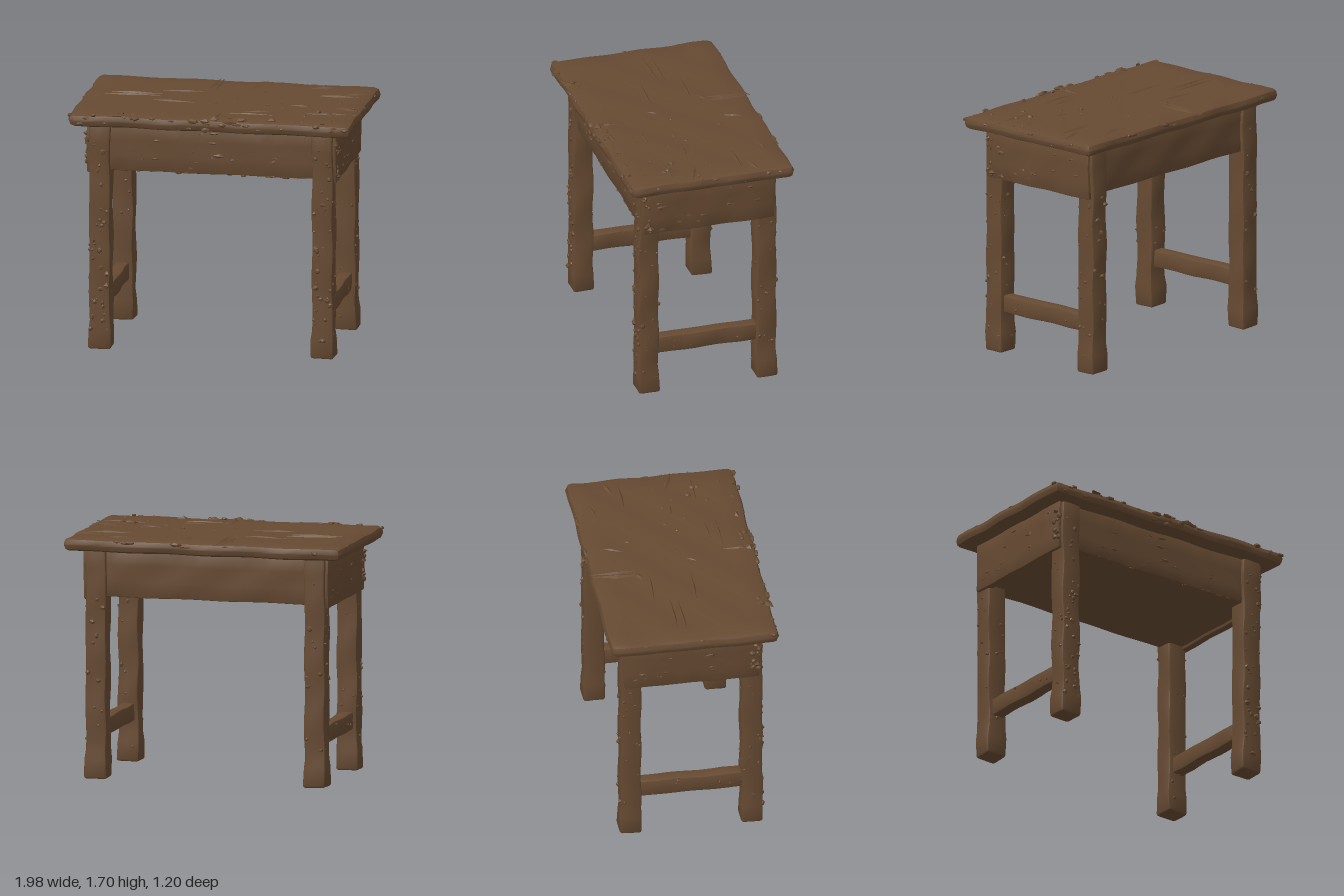
import * as THREE from 'three';
import { mergeGeometries, toCreasedNormals } from 'three/addons/utils/BufferGeometryUtils.js';

let seed = 7;
const rand = () => (seed = (seed * 16807) % 2147483647) / 2147483647;
const span = (a, b) => a + (b - a) * rand();

// Rounded, gently uneven timber between two corners
function timber(min, max, segs, r, amp, shape) {
  const size = max.map((v, i) => v - min[i]);
  const mid = max.map((v, i) => (v + min[i]) / 2);
  const g = new THREE.BoxGeometry(...size, ...segs);
  const pos = g.attributes.position;
  for (let i = 0; i < pos.count; i++) {
    const p = [pos.getX(i), pos.getY(i), pos.getZ(i)];
    const inner = [], dir = new THREE.Vector3();
    p.forEach((v, a) => {
      const half = size[a] / 2, n = segs[a];
      const k = Math.round((v / size[a] + 0.5) * n);
      if (k === 1) v = r - half;
      if (k === n - 1) v = half - r;
      inner[a] = THREE.MathUtils.clamp(v, r - half, half - r);
      dir.setComponent(a, v - inner[a]);
    });
    dir.setLength(r);
    const q = inner.map((v, a) => v + dir.getComponent(a));
    if (shape) shape(q, mid);
    const w = q.map((v, a) => v + mid[a]);
    const [x, y, z] = w;
    pos.setXYZ(i,
      x + amp * Math.sin(y * 13 + z * 17 + x * 3),
      y + amp * 0.5 * Math.sin(x * 11 + z * 14),
      z + amp * Math.sin(y * 15 + x * 12 + 1));
  }
  return toCreasedNormals(g, 0.6);
}

// Knots and splinters scattered over the box between two corners
function chips(count, min, max, size, flat = [1, 1, 1]) {
  const list = [];
  for (let i = 0; i < count; i++) {
    const s = size * span(0.5, 1.15);
    const g = rand() < 0.6 ? new THREE.IcosahedronGeometry(s, 0) : new THREE.OctahedronGeometry(s, 0);
    g.rotateX(span(0, 6)).rotateY(span(0, 6));
    g.scale(...flat.map((f) => f * span(0.7, 1.25)));
    g.translate(...min.map((v, a) => span(v, max[a])));
    g.computeVertexNormals();
    list.push(g);
  }
  return mergeGeometries(list);
}

// Long, pointed splinter lying on the top
function sliver([x, z, length, angle, width]) {
  const g = new THREE.OctahedronGeometry(1, 0);
  g.scale(length / 2, 0.012, width / 2);
  g.rotateY(angle).translate(x, 1.68, z);
  g.computeVertexNormals();
  return g;
}

export function createModel() {
  const wood = new THREE.MeshStandardMaterial({ color: 0x664a32 });
  wood.name = 'dark brown wood';
  const table = new THREE.Group();
  table.name = 'table';
  const add = (name, geometry) => {
    const mesh = new THREE.Mesh(geometry, wood);
    mesh.name = name;
    table.add(mesh);
  };

  // Table top with worn edges
  add('tableTop', timber([-0.985, 1.59, -0.59], [0.985, 1.682, 0.575], [24, 3, 16], 0.042, 0.005));
  add('frontEdgeChips', chips(34, [-0.96, 1.61, 0.555], [0.96, 1.675, 0.575], 0.02, [2, 0.8, 0.8]));
  add('backEdgeChips', chips(9, [-0.9, 1.64, -0.58], [0.9, 1.67, -0.575], 0.02, [2.2, 0.8, 0.8]));
  add('leftEdgeChips', chips(22, [0.955, 1.62, -0.54], [0.975, 1.67, 0.54], 0.018, [0.9, 0.8, 1.6]));
  add('rightEdgeChips', chips(9, [-0.975, 1.62, -0.54], [-0.96, 1.67, 0.54], 0.016, [0.9, 0.8, 1.6]));
  add('topKnots', chips(18, [0.05, 1.676, -0.5], [0.95, 1.683, 0.53], 0.024, [1, 0.5, 1]));
  add('topFrontKnots', chips(10, [-0.85, 1.676, 0.5], [0.9, 1.69, 0.55], 0.026, [1.3, 0.6, 1]));

  // Splits in the grain: x, z, length, angle, width
  add('topSplinters', mergeGeometries([
    [-0.66, -0.1, 0.52, 0, 0.02], [-0.66, -0.045, 0.56, 0.03, 0.022], [-0.37, 0.085, 0.4, -0.03, 0.025],
    [-0.15, -0.41, 0.4, 1.48, 0.05], [-0.11, -0.4, 0.42, 1.57, 0.04], [-0.17, -0.27, 0.16, 0.6, 0.06],
    [-0.3, -0.2, 0.42, -0.05, 0.025], [0.04, 0.46, 0.22, 1.5, 0.025], [0.25, 0.36, 0.4, 0.03, 0.018],
    [0.15, -0.4, 0.19, 1.2, 0.03], [0.75, -0.24, 0.36, 0, 0.025], [0.87, 0.1, 0.24, -0.35, 0.04],
    [0.8, 0.26, 0.38, 0.02, 0.025], [0.55, 0.07, 0.2, -0.1, 0.025], [0.62, -0.46, 0.24, 0.2, 0.03],
    [0.3, 0.28, 0.25, 0.1, 0.03], [-0.04, 0.12, 0.12, 1, 0.03], [0.87, -0.32, 0.2, 0.3, 0.035],
    [-0.62, 0.55, 0.14, 0.6, 0.07], [0.2, 0.5, 0.2, 0.25, 0.04]
  ].map(sliver)));

  // Closed box under the top, then the lower side boards
  add('drawerBox', timber([-0.84, 1.27, -0.475], [0.84, 1.6, 0.455], [20, 6, 10], 0.008, 0.004));
  add('boxFrontKnots', chips(18, [-0.66, 1.29, 0.448], [0.66, 1.56, 0.455], 0.02, [1.8, 0.6, 0.6]));
  add('boxLowerEdgeChips', chips(18, [-0.66, 1.268, 0.44], [0.66, 1.275, 0.455], 0.016, [1.6, 0.6, 0.7]));
  for (const s of [-1, 1]) {
    const side = s > 0 ? 'left' : 'right';
    const x = [s * 0.815, s * 0.87].sort((a, b) => a - b);
    add(side + 'SideBoard', timber([x[0], 1.248, -0.475], [x[1], 1.6, 0.46], [3, 6, 10], 0.008, 0.003));
    add(side + 'SideBoardKnots', chips(12, [s * 0.865, 1.27, -0.42], [s * 0.87, 1.56, 0.42], 0.02, [0.6, 0.7, 1.7]));
    add(side + 'SideBoardFrontChips', chips(11, [s * 0.86, 1.27, 0.4], [s * 0.875, 1.57, 0.455], 0.021));
  }

  // Legs with thicker feet
  const foot = (q, mid) => {
    if (q[1] + mid[1] < 0.14) {
      q[0] *= 1.1;
      q[2] *= 1.06;
    }
  };
  for (const s of [-1, 1]) {
    for (const f of [-1, 1]) {
      const name = (f > 0 ? 'front' : 'back') + (s > 0 ? 'Left' : 'Right') + 'Leg';
      const x = s * 0.777;
      const z = f > 0 ? 0.412 : -0.43;
      add(name, timber([x - 0.073, 0.006, z - 0.071], [x + 0.073, 1.6, z + 0.071], [4, 24, 4], 0.016, 0.004, foot));

      const face = z + f * 0.071;
      const outer = x + s * 0.073;
      add(name + 'FaceKnots', chips(f > 0 ? 34 : 10, [x - 0.06, 0.1, face], [x + 0.06, 1.5, face], 0.019, [1, 1, 0.8]));
      add(name + 'OuterKnots', chips(12, [outer, 0.1, z - 0.06], [outer, 1.22, z + 0.06], 0.014, [0.8, 1, 1]));
      const inner = z - f * 0.071;
      add(name + 'InnerKnots', chips(6, [x - 0.05, 0.1, inner], [x + 0.05, 1.2, inner], 0.014));
    }

    // Low rail joining the front and back legs
    const name = (s > 0 ? 'left' : 'right') + 'Rail';
    const x = s * 0.777;
    add(name, timber([x - 0.045, 0.29, -0.4], [x + 0.045, 0.412, 0.38], [4, 4, 10], 0.012, 0.004));
    add(name + 'Knots', chips(5, [x + s * 0.045, 0.3, -0.3], [x + s * 0.046, 0.4, 0.3], 0.012));
  }
  return table;
}
